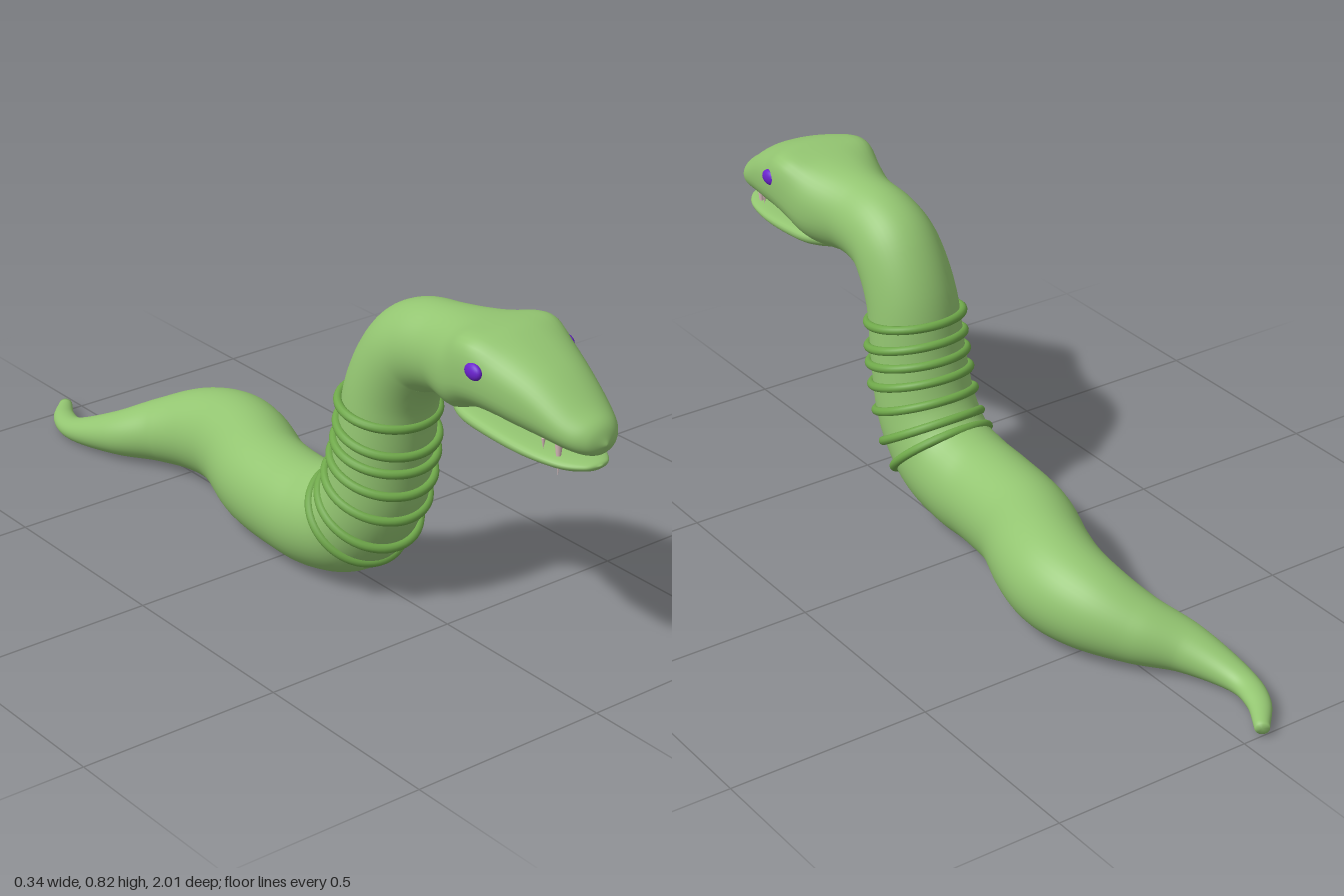
import * as THREE from 'three';

const { smoothstep } = THREE.MathUtils;
const HEAD_X = -0.005;
const mat = (name, color) => {
  const m = new THREE.MeshStandardMaterial({ color });
  m.name = name;
  return m;
};

// Smooth tube through stations [x, y, z, halfWidth, halfHeight]
function loft(stations, steps, sides, reshape) {
  const curve = pick => new THREE.CatmullRomCurve3(stations.map(pick), false, 'catmullrom', 0.5);
  const path = curve(s => new THREE.Vector3(s[0], s[1], s[2]));
  const size = curve(s => new THREE.Vector3(s[3], s[4], 0));
  const pos = [], idx = [];
  const X = new THREE.Vector3(1, 0, 0), Z = new THREE.Vector3(0, 0, 1);
  for (let i = 0; i <= steps; i++) {
    const c = path.getPoint(i / steps), r = size.getPoint(i / steps);
    // Head sections stand upright and are a little squarer
    const t = path.getTangent(i / steps).lerp(Z, smoothstep(c.z, 0.48, 0.64)).normalize();
    const power = 2 + 0.45 * smoothstep(c.z, 0.5, 0.66) * (1 - smoothstep(c.z, 0.78, 0.98));
    const bend = k => Math.sign(k) * Math.pow(Math.abs(k), 2 / power);
    const s = X.clone().addScaledVector(t, -X.dot(t)).normalize();
    const u = t.clone().cross(s);
    for (let j = 0; j < sides; j++) {
      const a = j / sides * Math.PI * 2;
      const v = c.clone()
        .addScaledVector(s, r.x * bend(Math.cos(a)))
        .addScaledVector(u, r.y * bend(Math.sin(a)));
      reshape(v);
      pos.push(v.x, v.y, v.z);
    }
  }
  for (let i = 0; i < steps; i++) {
    for (let j = 0; j < sides; j++) {
      const a = i * sides + j, b = i * sides + (j + 1) % sides;
      idx.push(a, b, a + sides, b, b + sides, a + sides);
    }
  }
  // Close both ends with fans
  for (const end of [0, 1]) {
    const k = pos.length / 3, base = end * steps * sides;
    pos.push(...path.getPoint(end).toArray());
    for (let j = 0; j < sides; j++) {
      const a = base + j, b = base + (j + 1) % sides;
      idx.push(k, end ? a : b, end ? b : a);
    }
  }
  const g = new THREE.BufferGeometry();
  g.setAttribute('position', new THREE.Float32BufferAttribute(pos, 3));
  g.setIndex(idx);
  g.computeVertexNormals();
  return g;
}

// Belly rests on the ground; brow ridges swell above the eyes
function shapeBody(v) {
  v.y = Math.max(v.y, 0);
  const dx = v.x - HEAD_X;
  const w = 0.012 * Math.exp(-(((Math.abs(dx) - 0.105) / 0.045) ** 2
    + ((v.y - 0.79) / 0.04) ** 2 + ((v.z - 0.68) / 0.06) ** 2));
  v.y += w;
  v.x += w * Math.sign(dx);
}

// Lower jaw rises towards its sides like a spoon
function shapeJaw(v) {
  v.y += 0.8 * (v.x - HEAD_X) ** 2;
}

export function createModel() {
  const model = new THREE.Group();
  model.name = 'snake';
  const skin = mat('skin green', 0x93c571);
  const band = mat('band green', 0x6fa84a);
  const iris = mat('eye purple', 0x6a22cc);
  const tooth = mat('tooth pink', 0xd9bcbc);
  const add = (name, geometry, material) => {
    const m = new THREE.Mesh(geometry, material);
    m.name = name;
    model.add(m);
    return m;
  };

  // Tail, lying body, raised neck, head
  const trunk = [
    [-0.05, 0.02, -1, 0.017, 0.015],
    [-0.105, 0.024, -0.92, 0.029, 0.022],
    [-0.122, 0.03, -0.83, 0.037, 0.031],
    [-0.08, 0.058, -0.7, 0.061, 0.057],
    [-0.012, 0.084, -0.6, 0.084, 0.083],
    [0.035, 0.107, -0.5, 0.105, 0.107],
    [0.05, 0.12, -0.4, 0.118, 0.12],
    [0.03, 0.125, -0.3, 0.121, 0.125],
    [-0.025, 0.125, -0.15, 0.121, 0.125],
    [-0.043, 0.125, 0, 0.121, 0.125],
    [-0.041, 0.132, 0.1, 0.123, 0.128],
    [-0.034, 0.167, 0.197, 0.123, 0.127],
    [-0.029, 0.26, 0.268, 0.122, 0.121],
    [-0.026, 0.39, 0.299, 0.118, 0.112],
    [-0.023, 0.54, 0.322, 0.112, 0.107],
    [-0.019, 0.64, 0.372, 0.107, 0.106],
    [-0.015, 0.68, 0.43, 0.102, 0.106],
    [-0.01, 0.695, 0.51, 0.102, 0.104],
    [-0.006, 0.702, 0.6, 0.126, 0.108],
    [HEAD_X, 0.722, 0.67, 0.137, 0.097],
    [HEAD_X, 0.724, 0.74, 0.131, 0.092],
    [HEAD_X, 0.696, 0.85, 0.102, 0.075],
    [HEAD_X, 0.663, 0.94, 0.076, 0.05],
    [HEAD_X, 0.651, 0.982, 0.046, 0.034],
    [HEAD_X, 0.645, 1, 0.003, 0.003],
  ];
  add('body and head', loft(trunk, 216, 48, shapeBody), skin);

  // Flat lower jaw, slightly open
  const jaw = [
    [HEAD_X, 0.616, 0.56, 0.055, 0.024],
    [HEAD_X, 0.602, 0.63, 0.09, 0.025],
    [HEAD_X, 0.593, 0.72, 0.096, 0.024],
    [HEAD_X, 0.585, 0.83, 0.088, 0.021],
    [HEAD_X, 0.584, 0.92, 0.068, 0.018],
    [HEAD_X, 0.588, 0.97, 0.036, 0.011],
    [HEAD_X, 0.591, 0.985, 0.004, 0.002],
  ];
  add('lower jaw', loft(jaw, 48, 32, shapeJaw), skin);

  // Neck bands, steeper near the bend; each pair is throat and back height
  const heights = [[0.092, 0.265], [0.152, 0.287], [0.235, 0.332], [0.305, 0.38],
    [0.365, 0.422], [0.408, 0.468], [0.478, 0.518]];
  heights.forEach(([front, back], i) => {
    const low = 1 - i / 6;
    const zFront = 0.42 - 0.118 * low ** 3.5;
    const zBack = 0.201 - 0.081 * low ** 1.8;
    const wide = 0.126 - i * 0.0012;
    const ring = add('neck band ' + (i + 1), new THREE.TorusGeometry(wide, 0.011, 12, 56), band);
    ring.scale.y = Math.hypot(back - front, zBack - zFront) / 2 / wide;
    ring.position.set(-0.031 + i * 0.001, (front + back) / 2, (zFront + zBack) / 2);
    ring.rotation.x = Math.atan2(zBack - zFront, back - front);
  });

  // Eyes, fangs and small teeth, mirrored about the head's middle
  for (const [side, word] of [[1, 'left'], [-1, 'right']]) {
    const eye = add(word + ' eye', new THREE.SphereGeometry(1, 24, 16), iris);
    eye.scale.set(0.014, 0.02, 0.028);
    eye.position.set(HEAD_X + side * 0.129, 0.75, 0.72);
    eye.rotation.y = side * 0.12;

    const spike = (name, radius, length, x, y, z) => {
      const cone = add(word + ' ' + name, new THREE.ConeGeometry(radius, length, 12), tooth);
      cone.rotation.x = Math.PI;
      cone.position.set(HEAD_X + side * x, y, z);
    };
    spike('fang', 0.009, 0.075, 0.048, 0.591, 0.905);
    spike('small tooth', 0.005, 0.025, 0.06, 0.618, 0.87);
  }
  return model;
}
